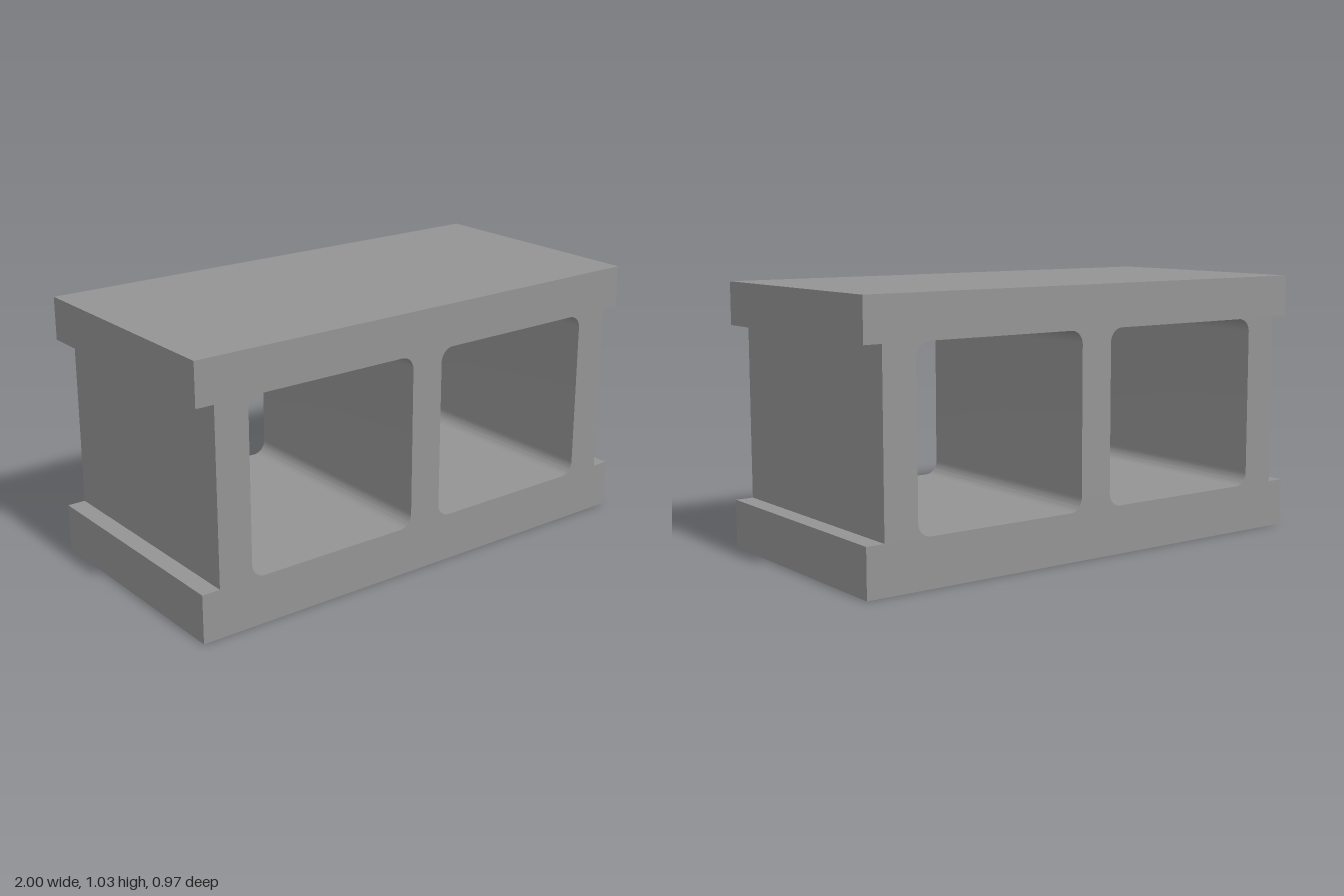
import * as THREE from 'three';
import { toCreasedNormals } from 'three/addons/utils/BufferGeometryUtils.js';

const HEIGHT = 1.032, DEPTH = 0.972;
const LOW = 0.188, HIGH = 0.866; // inner faces of the bottom and top slabs
const WEB = 0.928;               // outer face of the recessed end walls

// Rounded rectangular opening for one hollow core
function coreHole(x0, x1, y0, y1, r) {
  const p = new THREE.Path();
  p.absarc(x1 - r, y1 - r, r, 0, Math.PI / 2);
  p.absarc(x0 + r, y1 - r, r, Math.PI / 2, Math.PI);
  p.absarc(x0 + r, y0 + r, r, Math.PI, Math.PI * 1.5);
  p.absarc(x1 - r, y0 + r, r, Math.PI * 1.5, Math.PI * 2);
  p.closePath();
  return p;
}

export function createModel() {
  const group = new THREE.Group();
  group.name = 'concreteBlock';

  // Outline with a recess in each end
  const right = [[1, 0], [1, LOW], [WEB, LOW], [WEB, HIGH], [1, HIGH], [1, HEIGHT]];
  const left = right.map(([x, y]) => [-x, y]).reverse();
  const shape = new THREE.Shape([...right, ...left].map(([x, y]) => new THREE.Vector2(x, y)));

  // Two hollow cores running front to back
  shape.holes.push(coreHole(0.068, 0.792, LOW, HIGH, 0.053));
  shape.holes.push(coreHole(-0.792, -0.068, LOW, HIGH, 0.053));

  const extruded = new THREE.ExtrudeGeometry(shape, { depth: DEPTH, bevelEnabled: false, curveSegments: 10 });
  extruded.translate(0, 0, -DEPTH / 2);

  const block = new THREE.Mesh(
    toCreasedNormals(extruded, Math.PI / 6),
    new THREE.MeshStandardMaterial({ color: 0x949494 })
  );
  block.name = 'blockBody';
  group.add(block);
  return group;
}
